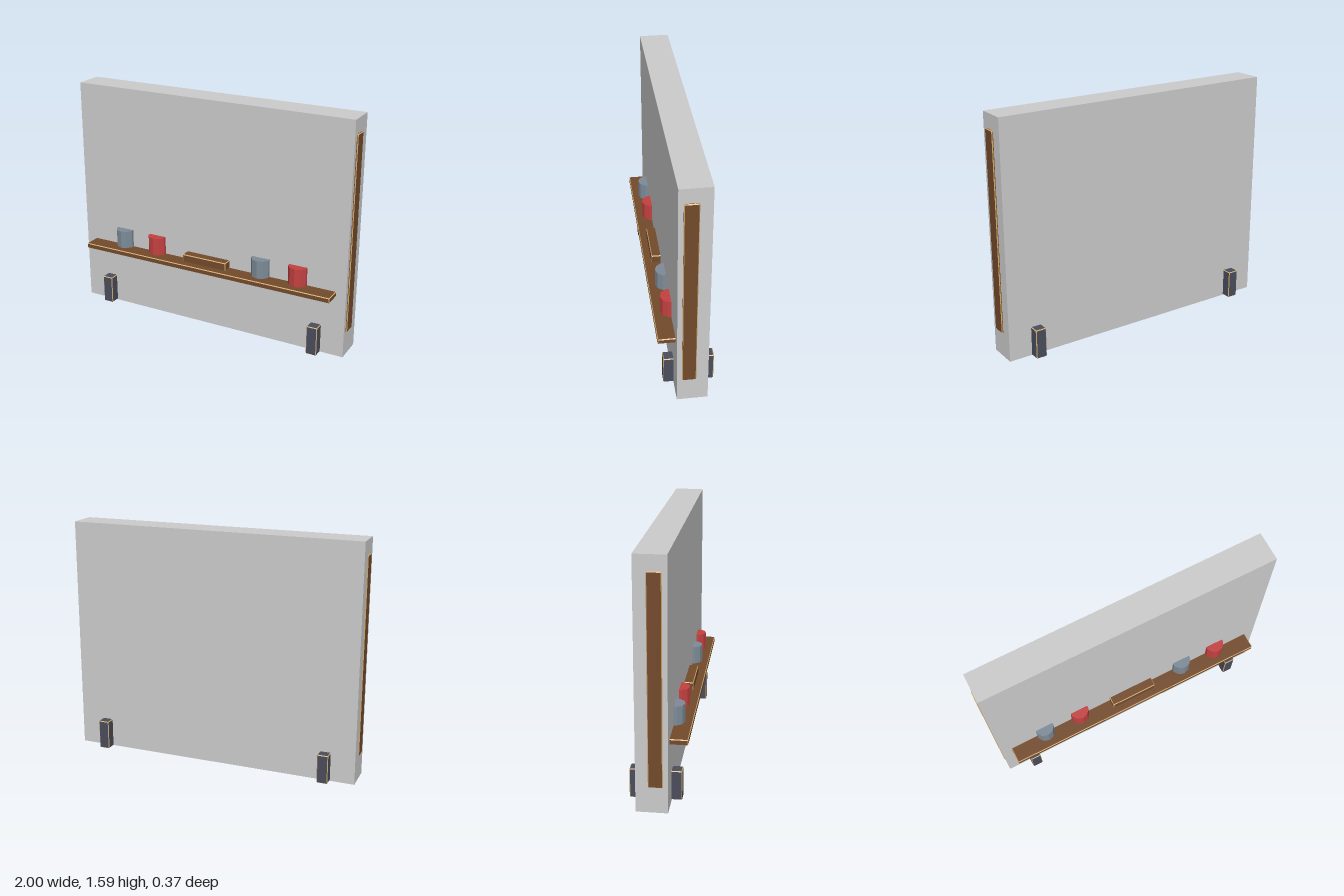
import * as THREE from 'three';
import { ConvexGeometry } from 'three/addons/geometries/ConvexGeometry.js';

const mat = (name, color) => new THREE.MeshStandardMaterial({ name, color });

// Box between two corners with a narrow chamfer; group 0 = faces, group 1 = chamfers
function chamferBox(min, max, c) {
  const half = max.map((v, i) => (v - min[i]) / 2);
  const mid = max.map((v, i) => (v + min[i]) / 2);
  const points = [];
  for (const sx of [-1, 1]) for (const sy of [-1, 1]) for (const sz of [-1, 1]) {
    for (let full = 0; full < 3; full++) {
      const p = [sx, sy, sz].map((s, i) => mid[i] + s * (half[i] - (i === full ? 0 : c)));
      points.push(new THREE.Vector3(...p));
    }
  }
  const geo = new ConvexGeometry(points);
  const n = geo.attributes.normal;
  geo.clearGroups();
  for (let i = 0; i < n.count; i += 3) {
    const flat = Math.max(Math.abs(n.getX(i)), Math.abs(n.getY(i)), Math.abs(n.getZ(i))) > 0.98;
    geo.addGroup(i, 3, flat ? 0 : 1);
  }
  return geo;
}

export function createModel() {
  const group = new THREE.Group();
  group.name = 'board';
  const panelGrey = mat('panelGrey', 0xcccccc);
  const wood = mat('wood', 0x734a2b);
  const edgeTan = mat('edgeTan', 0xcfa76a);
  const slate = mat('slate', 0x4a4e5c);
  const cupGrey = mat('cupGrey', 0x7d8b97);
  const cupRed = mat('cupRed', 0xc44141);
  for (const m of [cupGrey, cupRed]) m.flatShading = true;

  const add = (name, geo, material) => {
    const mesh = new THREE.Mesh(geo, material);
    mesh.name = name;
    group.add(mesh);
    return mesh;
  };
  const edged = (name, min, max, face) =>
    add(name, chamferBox(min, max, 0.005), [face, edgeTan]);

  // Main panel
  add('panel', new THREE.BoxGeometry(1.986, 1.59, 0.197), panelGrey)
    .position.set(-0.002, 0.797, -0.0235);

  // Shelf and the block on it
  edged('shelf', [-0.925, 0.422, 0], [0.923, 0.457, 0.186], wood);
  edged('shelfBlock', [-0.165, 0.455, 0], [0.16, 0.511, 0.136], wood);

  // Side strips and feet
  for (const s of [-1, 1]) {
    const side = s > 0 ? 'left' : 'right';
    const x0 = s > 0 ? 0.95 : -1;
    edged(side + 'Strip', [x0, 0.17, -0.046], [x0 + 0.05, 1.495, 0.044], wood);
    const fx = s * 0.795;
    edged(side + 'Foot', [fx - 0.037, s > 0 ? 0 : 0.005, -0.186], [fx + 0.037, 0.2, 0.14], slate);
  }

  // Ten-sided cups, half sunk in the panel
  [[-0.665, cupGrey], [-0.4, cupRed], [0.394, cupGrey], [0.66, cupRed]].forEach(([x, m], i) => {
    add('cup' + (i + 1), new THREE.CylinderGeometry(0.066, 0.066, 0.125, 10), m)
      .position.set(x, 0.5175, 0.074);
  });

  return group;
}
